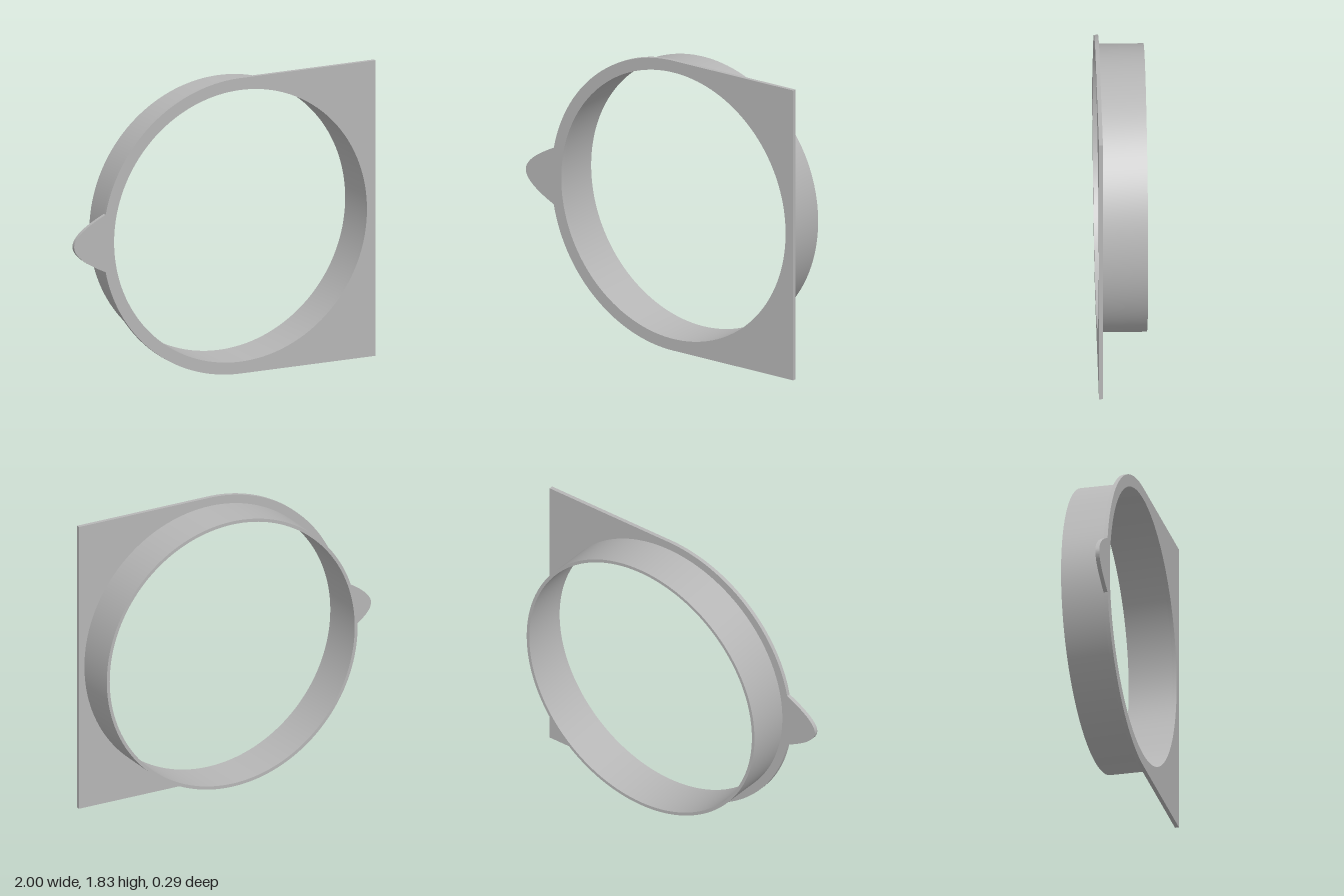
import * as THREE from 'three';
import { toCreasedNormals } from 'three/addons/utils/BufferGeometryUtils.js';

const CX = 0.104, CY = 0.9125;   // centre of the opening
const HOLE_R = 0.839, RING_R = 0.859, FLANGE_R = 0.9125;
const BACK = -0.147, SEAM = 0.123, FRONT = 0.147;

// Extrude a shape between two z planes, smooth on curves and sharp on edges
function slab(name, shape, z0, z1, material) {
  const hole = new THREE.Path();
  hole.absarc(CX, CY, HOLE_R, 0, Math.PI * 2, true);
  shape.holes.push(hole);
  const geometry = new THREE.ExtrudeGeometry(shape, {
    depth: z1 - z0, bevelEnabled: false, curveSegments: 72,
  });
  geometry.translate(0, 0, z0);
  const mesh = new THREE.Mesh(toCreasedNormals(geometry, 0.5), material);
  mesh.name = name;
  return mesh;
}

export function createModel() {
  const group = new THREE.Group();
  group.name = 'flangedRing';
  const grey = new THREE.MeshStandardMaterial({ color: 0xb6b6b6 });
  grey.name = 'grey';

  // Flange: square on one side, round on the other, with a rounded pointed tab
  const tabHalf = 0.1775, tipX = -1;
  const a = Math.asin(tabHalf / FLANGE_R);
  const tabX = CX - FLANGE_R * Math.cos(a);
  const flange = new THREE.Shape();
  flange.moveTo(CX, 0);
  flange.lineTo(1, 0);
  flange.lineTo(1, CY * 2);
  flange.lineTo(CX, CY * 2);
  flange.absarc(CX, CY, FLANGE_R, Math.PI / 2, Math.PI - a, false);
  flange.quadraticCurveTo(tipX, CY + 0.08, tipX, CY);
  flange.quadraticCurveTo(tipX, CY - 0.08, tabX, CY - tabHalf);
  flange.absarc(CX, CY, FLANGE_R, Math.PI + a, Math.PI * 1.5, false);
  group.add(slab('flangePlate', flange, SEAM, FRONT, grey));

  // Thin collar behind the flange
  const collar = new THREE.Shape();
  collar.absarc(CX, CY, RING_R, 0, Math.PI * 2, false);
  group.add(slab('collar', collar, BACK, SEAM, grey));

  return group;
}
